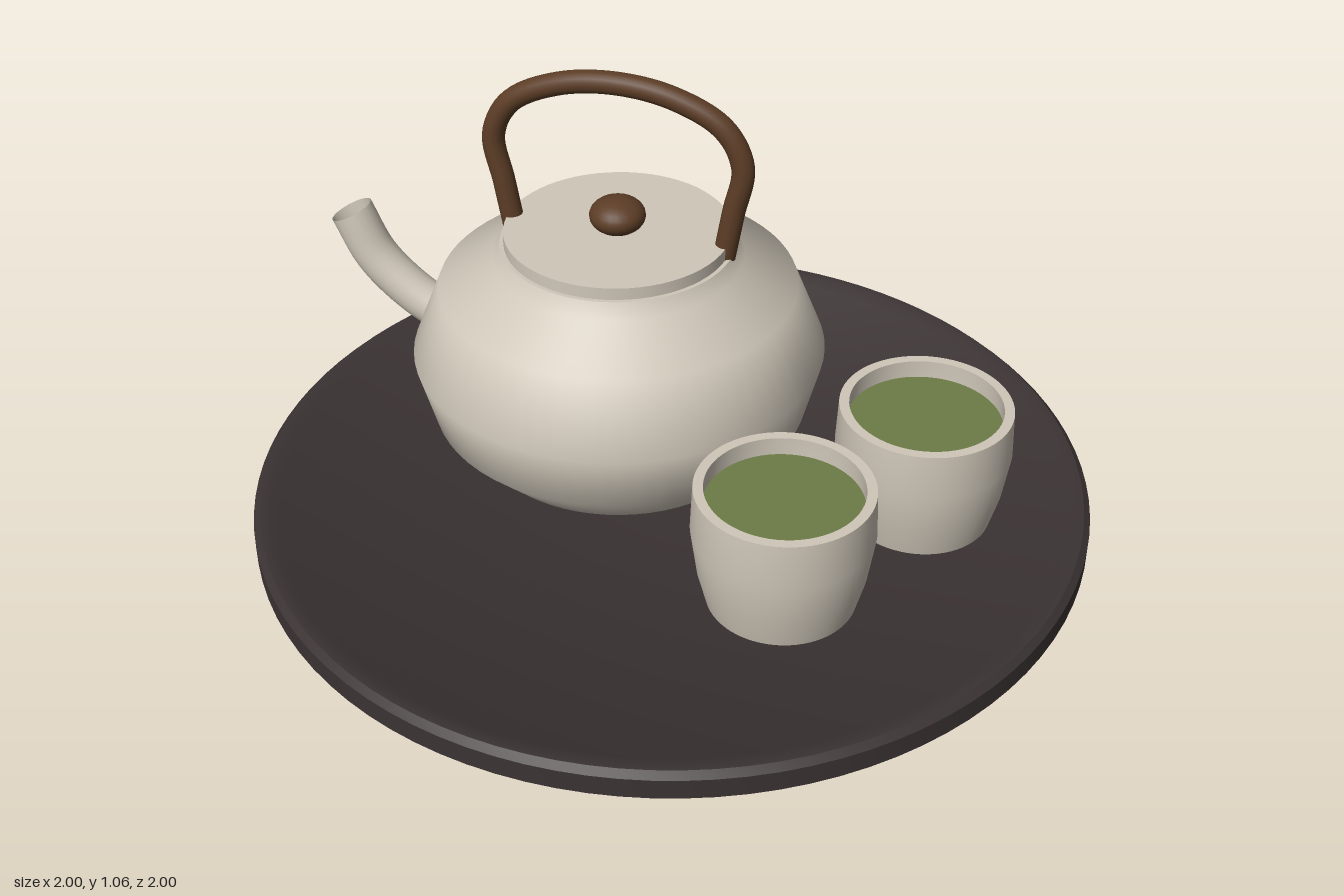
import * as THREE from 'three';
import { toCreasedNormals } from 'three/addons/utils/BufferGeometryUtils.js';

const mat = (name, color) => {
  const m = new THREE.MeshStandardMaterial({ color, side: THREE.DoubleSide });
  m.name = name;
  return m;
};

// Solid of revolution from [radius, height] pairs, listed bottom to top
const lathe = (points, crease = 0.6, segments = 64) => toCreasedNormals(
  new THREE.LatheGeometry(points.map(([r, y]) => new THREE.Vector2(r, y)), segments), crease);

// Round tube through [x, y] points in the local xy plane
const tube = (points, radius, segments = 40) => new THREE.TubeGeometry(
  new THREE.CatmullRomCurve3(points.map(([x, y]) => new THREE.Vector3(x, y, 0))), segments, radius, 20);

export function createModel() {
  const clay = mat('clay', 0xcfc7b9);
  const wood = mat('wood', 0x5c3d26);
  const lacquer = mat('darkLacquer', 0x3b3333);
  const tea = mat('greenTea', 0x6c7c45);

  const model = new THREE.Group();
  model.name = 'teaSet';
  const add = (parent, name, geometry, material) => {
    const mesh = new THREE.Mesh(geometry, material);
    mesh.name = name;
    parent.add(mesh);
    return mesh;
  };

  // Round tray with a chamfered foot and a low lip
  add(model, 'tray', lathe([
    [0, 0], [0.96, 0], [1, 0.03], [1, 0.08], [0.985, 0.094], [0.96, 0.094], [0.94, 0.08], [0, 0.08],
  ], 0.7, 96), lacquer);

  // Teapot, turned so the spout points outward over the tray
  const teapot = new THREE.Group();
  teapot.name = 'teapot';
  teapot.position.set(-0.22, 0, -0.085);
  teapot.rotation.y = 0.35;
  model.add(teapot);

  add(teapot, 'potBody', lathe([
    [0, 0.08], [0.36, 0.08], [0.46, 0.185], [0.5, 0.34], [0.43, 0.515], [0.3, 0.59], [0.28, 0.625], [0, 0.625],
  ], 0.75), clay);
  add(teapot, 'lid', lathe([[0.27, 0.62], [0.27, 0.655], [0, 0.656]]), clay);

  const knob = add(teapot, 'lidKnob', new THREE.SphereGeometry(0.067, 24, 16), wood);
  knob.scale.y = 0.65;
  knob.position.y = 0.69;

  // Open spout
  add(teapot, 'spout', tube([
    [-0.42, 0.33], [-0.48, 0.35], [-0.56, 0.405], [-0.63, 0.48], [-0.685, 0.595],
  ], 0.053), clay);

  // Arched handle over the lid
  const side = [[0.258, 0.61], [0.28, 0.74], [0.3, 0.86], [0.255, 0.95], [0.14, 1.01]];
  add(teapot, 'handle', tube([
    ...side.map(([x, y]) => [-x, y]), [0, 1.03], ...side.slice().reverse(),
  ], 0.027, 80), wood);

  // Two cups filled with tea
  const cupShape = lathe([
    [0, 0.08], [0.17, 0.08], [0.19, 0.16], [0.205, 0.27], [0.2, 0.38],
    [0.177, 0.38], [0.179, 0.27], [0.16, 0.13], [0, 0.13],
  ], 0.7);
  const teaShape = new THREE.CircleGeometry(0.179, 48).rotateX(-Math.PI / 2);
  [[0.455, 0.21], [0.55, -0.235]].forEach(([x, z], i) => {
    const cup = new THREE.Group();
    cup.name = i ? 'backCup' : 'frontCup';
    cup.position.set(x, 0, z);
    add(cup, 'cupBody', cupShape, clay);
    add(cup, 'teaSurface', teaShape, tea).position.y = 0.335;
    model.add(cup);
  });

  return model;
}
